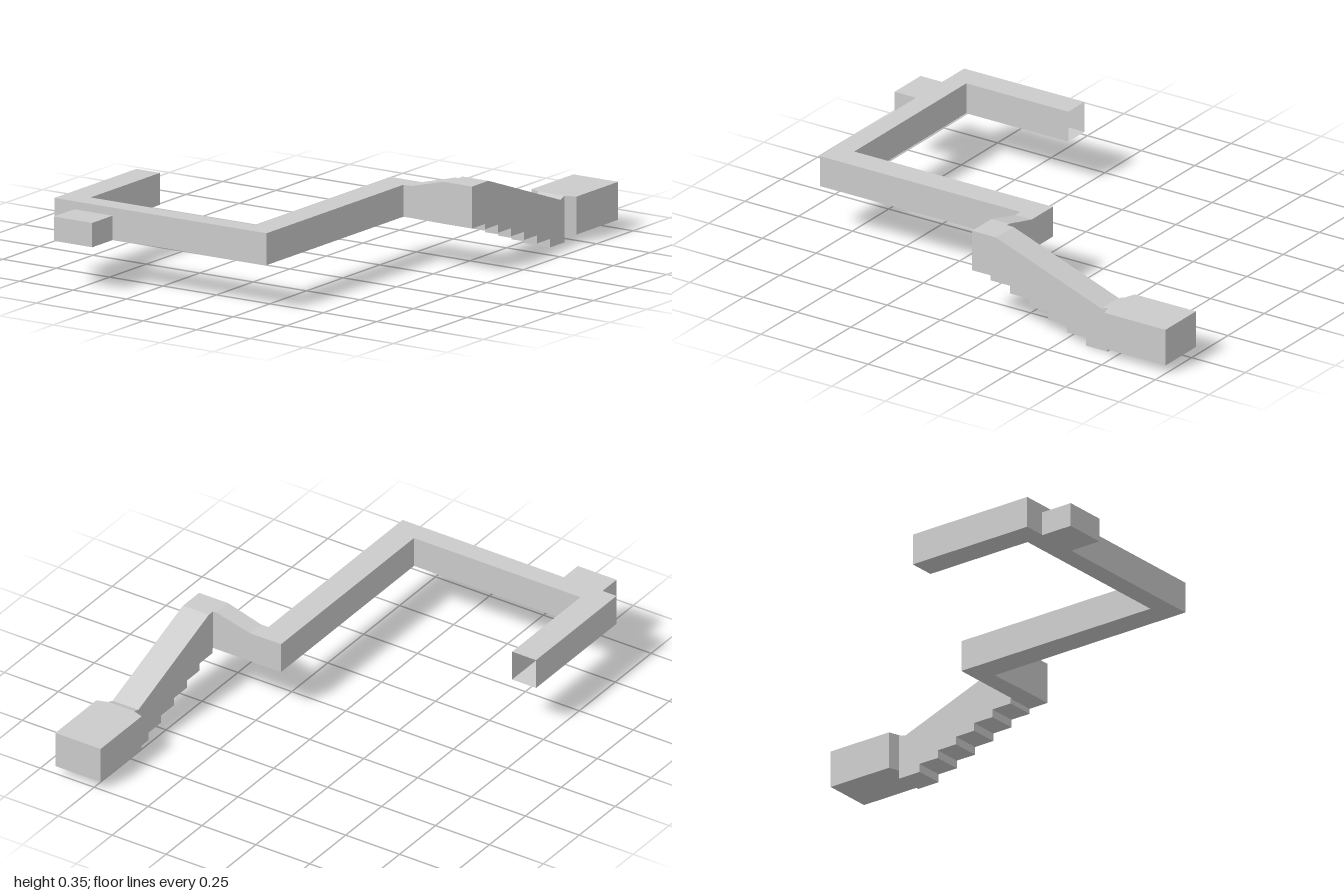
import * as THREE from 'three';

const material = new THREE.MeshStandardMaterial({
  color: 0xcccccc, flatShading: true, side: THREE.DoubleSide,
});

// A cross-section of the passage: right wall (x, z), left wall (x, z), floor and ceiling heights
const section = (rx, rz, lx, lz, floor, top) => [
  [rx, floor, rz], [rx, top, rz], [lx, top, lz], [lx, floor, lz],
];

// Thin-walled passage through a list of sections, optionally closed at its far end
function passage(name, sections, closed = false) {
  const pos = [];
  const quad = (a, b, c, d) => pos.push(...a, ...b, ...c, ...a, ...c, ...d);
  for (let i = 0; i + 1 < sections.length; i++) {
    const s = sections[i], t = sections[i + 1];
    for (let k = 0; k < 4; k++) {
      const n = (k + 1) % 4;
      quad(s[k], t[k], t[n], s[n]);
    }
  }
  if (closed) {
    const [a, b, c, d] = sections[sections.length - 1];
    quad(d, c, b, a);
  }
  const geometry = new THREE.BufferGeometry();
  geometry.setAttribute('position', new THREE.Float32BufferAttribute(pos, 3));
  geometry.computeVertexNormals();
  const mesh = new THREE.Mesh(geometry, material);
  mesh.name = name;
  return mesh;
}

export function createModel() {
  const group = new THREE.Group();
  group.name = 'passageway';
  const floor = 0.188, low = 0.315, high = 0.355;

  // Level corridor, open at its start, with mitred corners
  const bend = section(0.31, -0.073, 0.2, -0.15, floor, low);
  group.add(passage('corridor', [
    section(-0.683, 0.3, -0.572, 0.3, floor, low),
    section(-0.683, 0.86, -0.572, 0.775, floor, low),
    section(0.31, 0.86, 0.2, 0.775, floor, low),
    bend,
  ]));

  // Short connecting passage whose ceiling rises
  const landing = section(0.635, -0.068, 0.515, -0.15, floor, high);
  group.add(passage('risingPassage', [
    bend,
    section(0.345, -0.073, 0.345, -0.15, floor, low),
    section(0.5, -0.068, 0.5, -0.15, floor, high),
    landing,
  ]));

  // Stairway: stepped floor under a sloping ceiling
  const ceiling = (z) => (z < -0.67
    ? THREE.MathUtils.mapLinear(z, -0.67, -0.7, 0.178, 0.188)
    : THREE.MathUtils.mapLinear(Math.min(z, -0.18), -0.18, -0.67, high, 0.178));
  const stair = (z, y) => section(0.635, z, 0.515, z, y, ceiling(z));
  const stairs = [landing];
  let y = floor;
  for (let i = 0; i < 6; i++) {
    const z = -0.155 - i * 0.089;
    stairs.push(stair(z, y));
    y = i === 5 ? 0.003 : 0.167 - i * 0.0325;
    stairs.push(stair(z, y));
    if (i === 0) stairs.push(stair(-0.18, y));
  }
  stairs.push(stair(-0.67, y), stair(-0.7, y), stair(-0.7, 0.037));
  group.add(passage('stairway', stairs));

  // Room at the foot of the stairs, with a slightly splayed front wall
  group.add(passage('room', [
    stair(-0.7, 0.037),
    section(0.68, -0.715, 0.47, -0.715, 0.037, 0.188),
    section(0.68, -1, 0.47, -1, 0.037, 0.188),
  ], true));

  // Small alcove on the outside of the corridor
  const alcove = new THREE.Mesh(new THREE.BoxGeometry(0.18, 0.097, 0.14), material);
  alcove.name = 'alcove';
  alcove.position.set(-0.5, 0.2345, 0.93);
  group.add(alcove);

  return group;
}
